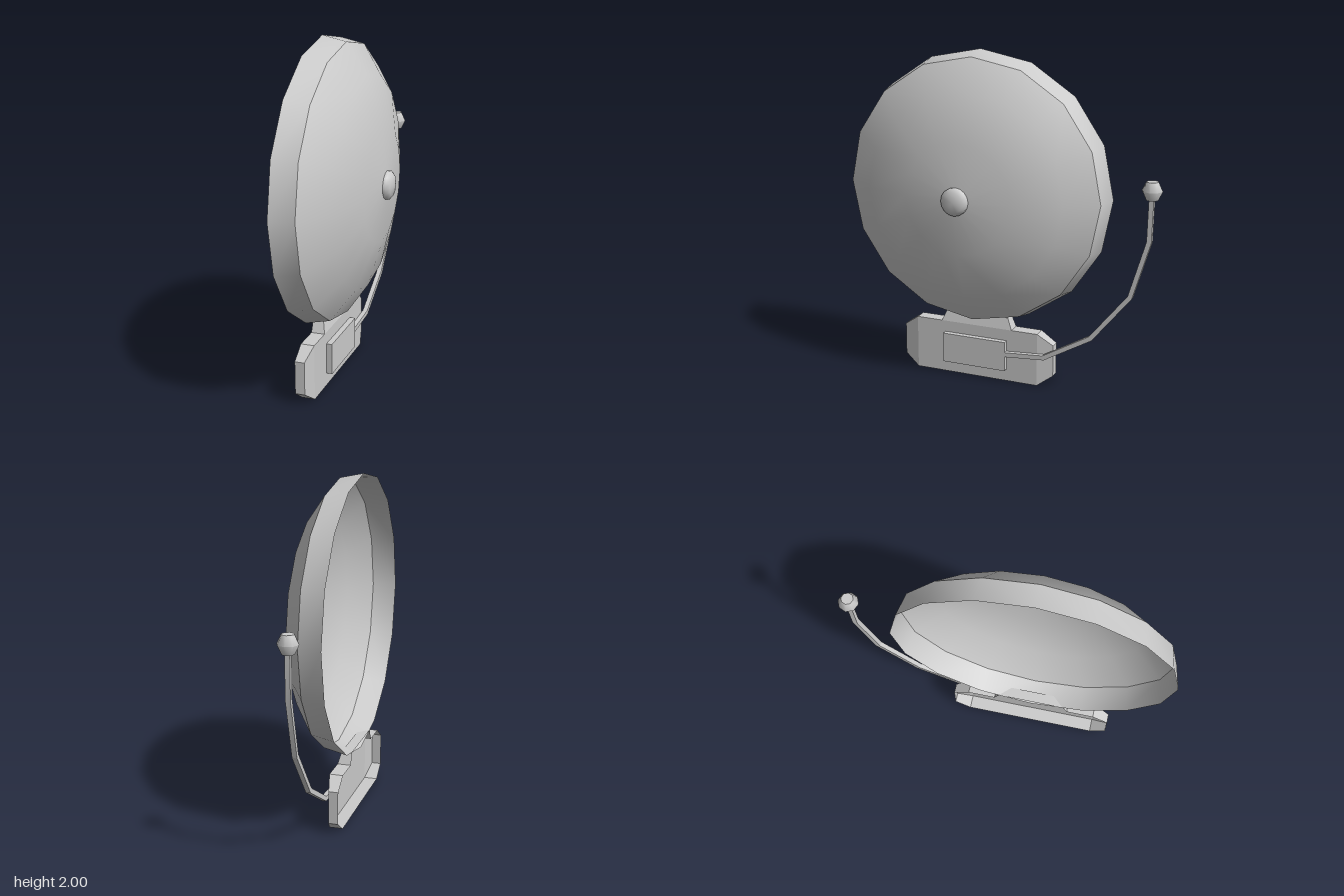
import * as THREE from 'three';
import { toCreasedNormals } from 'three/addons/utils/BufferGeometryUtils.js';

const material = new THREE.MeshStandardMaterial({ color: 0xcccccc, side: THREE.DoubleSide });
const MID = 0.155; // z of the bell and base centre
const BACK = -0.21; // open wall side
const FRONT = -0.13; // front plate of the base

function part(name, geometry, crease = 0.6) {
  const mesh = new THREE.Mesh(toCreasedNormals(geometry, crease), material);
  mesh.name = name;
  return mesh;
}

// Revolves [radius, height] pairs around y
function lathe(profile, sides) {
  return new THREE.LatheGeometry(profile.map(([r, h]) => new THREE.Vector2(r, h)), sides);
}

// Joins four-cornered faces into one geometry
function quads(faces) {
  const geometry = new THREE.BufferGeometry();
  const points = faces.flatMap(([a, b, c, d]) => [a, b, c, a, c, d]);
  geometry.setAttribute('position', new THREE.Float32BufferAttribute(points.flat(), 3));
  geometry.computeVertexNormals();
  return geometry;
}

// Hollow base: bent front plate and a rim running back to the wall
function baseGeometry() {
  const p = (x, y, dz) => [x, y, MID + dz];
  const wall = (a, b) => [a, b, [BACK, b[1], b[2]], [BACK, a[1], a[2]]];
  const faces = [[p(FRONT, 0, 0.395), p(FRONT, 0, -0.395), p(FRONT, 0.33, -0.395), p(FRONT, 0.33, 0.395)]];
  faces.push(wall(p(FRONT, 0, -0.395), p(FRONT, 0, 0.395)));

  // Neck plate and its top
  const neckTop = [p(-0.147, 0.4, 0.2), p(-0.147, 0.4, -0.2)];
  faces.push([p(FRONT, 0.33, 0.23), p(FRONT, 0.33, -0.23), neckTop[1], neckTop[0]]);
  faces.push(wall(neckTop[0], neckTop[1]));

  for (const s of [1, -1]) {
    const low = p(FRONT, 0, s * 0.395);
    const endLow = p(-0.153, 0.068, s * 0.49);
    const endHigh = p(-0.153, 0.263, s * 0.49);
    const high = p(FRONT, 0.33, s * 0.395);
    const neck = p(FRONT, 0.33, s * 0.23);
    const top = p(-0.147, 0.4, s * 0.2);
    const end = [low, endLow, endHigh, high];
    const rim = [[low, endLow], [endLow, endHigh], [endHigh, high], [high, neck], [neck, top]].map(([a, b]) => wall(a, b));
    const side = [end, ...rim];
    // The mirrored half needs its corner order turned round
    faces.push(...side.map((f) => (s > 0 ? [...f].reverse() : f)));
  }
  return quads(faces);
}

// Straight-segmented rod path
function rodPath(points) {
  const path = new THREE.CurvePath();
  for (let i = 1; i < points.length; i++) path.add(new THREE.LineCurve3(points[i - 1], points[i]));
  return path;
}

// Rod swept as rings mitred at each bend
function rodGeometry(points, radius, sides) {
  const path = rodPath(points);
  const across = new THREE.Vector3(1, 0, 0);
  const rings = points.map((point, i) => {
    const before = path.curves[Math.max(i - 1, 0)].getTangent(0);
    const after = path.curves[Math.min(i, path.curves.length - 1)].getTangent(0);
    const normal = before.add(after).normalize().cross(across);
    return Array.from({ length: sides }, (_, k) => {
      const a = ((k + 0.5) / sides) * Math.PI * 2;
      return point.clone().addScaledVector(across, Math.cos(a) * radius)
        .addScaledVector(normal, Math.sin(a) * radius).toArray();
    });
  });
  const faces = [];
  for (let i = 0; i + 1 < rings.length; i++) {
    for (let k = 0; k < sides; k++) {
      const n = (k + 1) % sides;
      faces.push([rings[i][k], rings[i + 1][k], rings[i + 1][n], rings[i][n]]);
    }
  }
  return quads(faces);
}

export function createModel() {
  const group = new THREE.Group();

  // Open bell dish facing +x, with a hollow button over its centre hole
  const dish = lathe([[0.82, BACK], [0.79, -0.07], [0.61, 0.055], [0.33, 0.14], [0.08, 0.165]], 16);
  const button = lathe([[0.082, 0.16], [0.082, 0.182], [0.06, 0.2], [0, 0.207]], 16);
  for (const [name, geometry] of [['bellDish', dish], ['centreButton', button]]) {
    geometry.rotateZ(-Math.PI / 2);
    const mesh = part(name, geometry, name === 'bellDish' ? 0.6 : 1.2);
    mesh.position.set(0, 1.18, MID);
    group.add(mesh);
  }

  group.add(part('base', baseGeometry(), 0.2));

  // Raised cover on the base
  const cover = part('baseCover', new THREE.BoxGeometry(0.034, 0.185, 0.405));
  cover.position.set(-0.112, 0.168, 0.158);
  group.add(cover);

  // Bent striker arm and its knob
  const arm = [[0.175, 0.02], [0.198, -0.29], [0.365, -0.58], [0.65, -0.81], [0.99, -0.91], [1.25, -0.915]]
    .map(([y, z]) => new THREE.Vector3(-0.113, y, z));
  group.add(part('strikerArm', rodGeometry(arm, 0.02, 4), 0.3));

  const knob = part('strikerKnob', lathe([[0, -0.052], [0.035, -0.052], [0.06, 0], [0.035, 0.052], [0, 0.052]], 8), 0.9);
  knob.position.set(-0.113, 1.285, -0.915);
  group.add(knob);

  return group;
}
